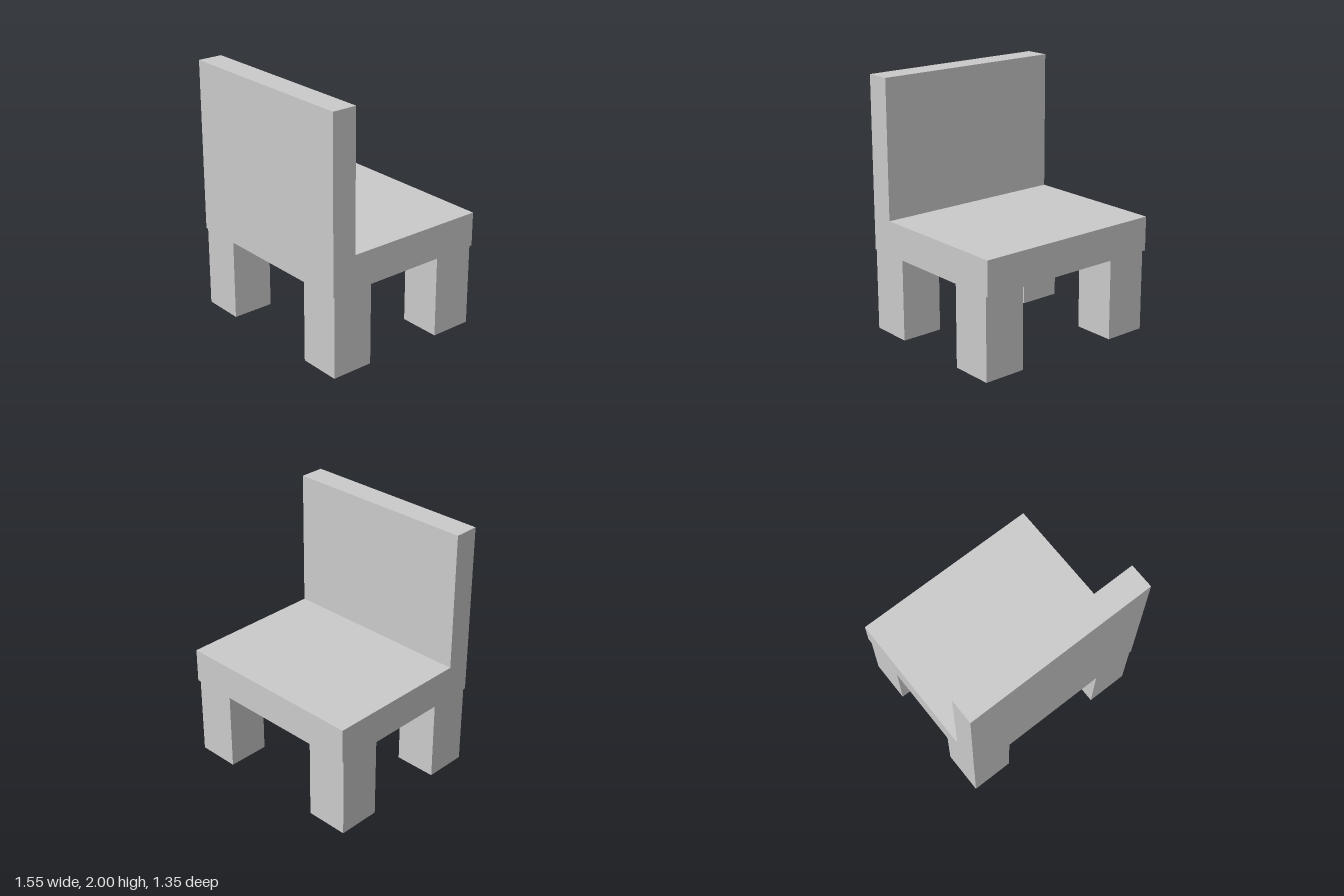
import * as THREE from 'three';

export function createModel() {
  const model = new THREE.Group();
  model.name = 'chair';
  const material = new THREE.MeshStandardMaterial({ color: 0xcccccc, flatShading: true });

  // Seat and backrest: one L-shaped side profile (z, y) extruded across the width
  const width = 1.55;
  const profile = new THREE.Shape(
    [[-0.677, 0.645], [0.677, 0.645], [0.677, 2], [0.48, 2], [0.48, 0.915], [-0.677, 0.915]]
      .map(([z, y]) => new THREE.Vector2(z, y))
  );
  const bodyGeometry = new THREE.ExtrudeGeometry(profile, { depth: width, bevelEnabled: false });
  bodyGeometry.translate(0, 0, -width / 2).rotateY(-Math.PI / 2);
  const body = new THREE.Mesh(bodyGeometry, material);
  body.name = 'seatAndBackrest';
  model.add(body);

  // Four square legs
  const legHeight = 0.645;
  const legGeometry = new THREE.BoxGeometry(0.338, legHeight, 0.338);
  for (const [side, x] of [['Right', -0.598], ['Left', 0.604]]) {
    for (const [end, z] of [['backrest', 0.498], ['seatEdge', -0.487]]) {
      const leg = new THREE.Mesh(legGeometry, material);
      leg.name = `${end}${side}Leg`;
      leg.position.set(x, legHeight / 2, z);
      model.add(leg);
    }
  }

  return model;
}
